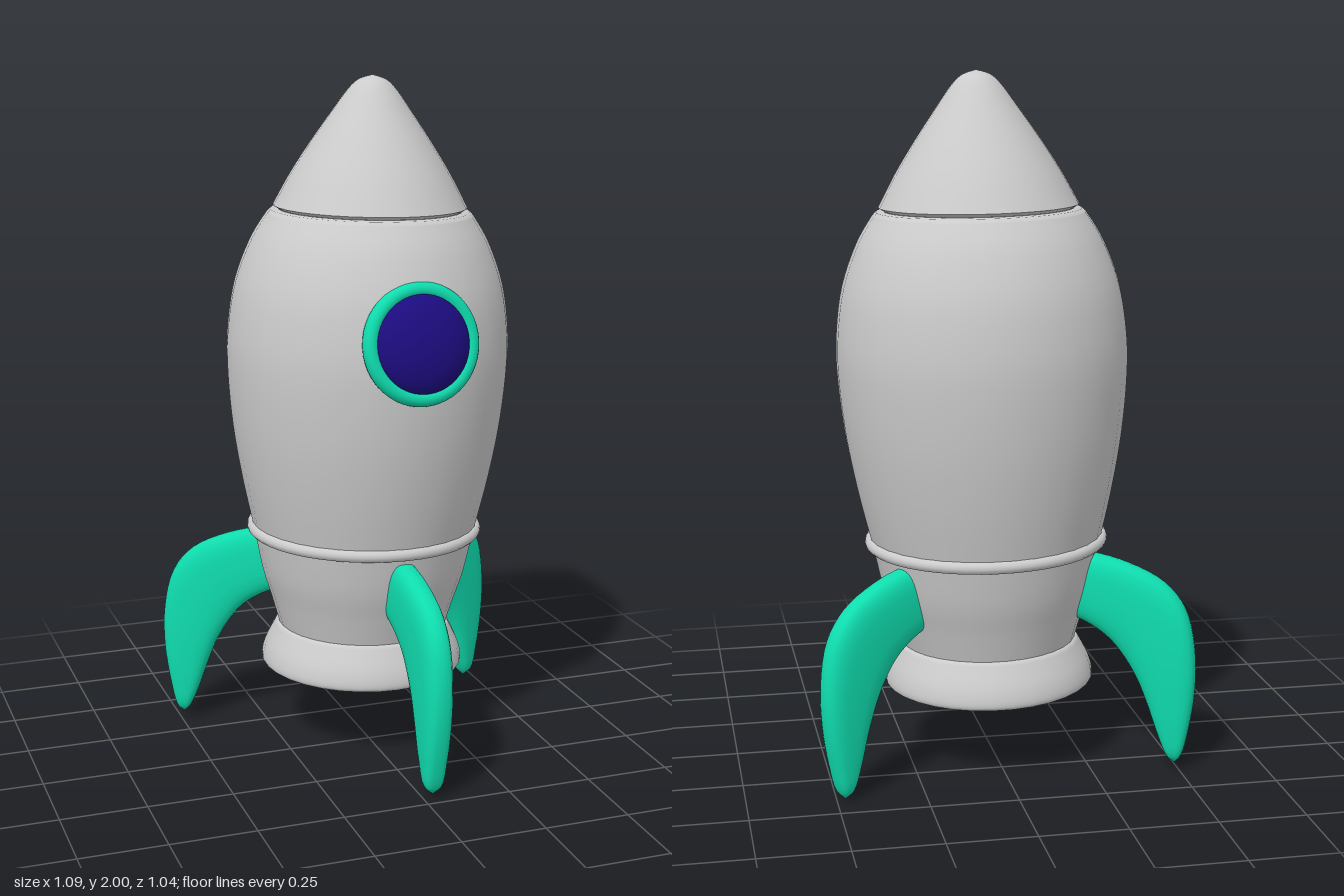
import * as THREE from 'three';

const grey = new THREE.MeshStandardMaterial({ color: 0xcccccc, side: THREE.DoubleSide });
const green = new THREE.MeshStandardMaterial({ color: 0x0fdcae });
const navy = new THREE.MeshStandardMaterial({ color: 0x1c0c80 });

function mesh(name, geometry, material) {
  const m = new THREE.Mesh(geometry, material);
  m.name = name;
  return m;
}

// Turned part from [radius, height] pairs, bottom to top; smooth runs a spline through them
function turned(name, pairs, smooth = true) {
  let pts = pairs.map(([r, y]) => new THREE.Vector2(r, y));
  if (smooth) pts = new THREE.SplineCurve(pts).getPoints(pairs.length * 4);
  pts.forEach(p => { p.x = Math.max(p.x, 0); });
  return mesh(name, new THREE.LatheGeometry(pts, 32), grey);
}

// Swept fin: rounded cross-sections between an outer and an inner edge, x pointing outwards.
// Each row: outer x, outer y, inner x, inner y, half thickness.
function finGeometry() {
  const rows = [
    [0.22, 0.63, 0.22, 0.45, 0.045],
    [0.31, 0.627, 0.28, 0.43, 0.045],
    [0.42, 0.602, 0.33, 0.405, 0.045],
    [0.528, 0.55, 0.375, 0.37, 0.045],
    [0.59, 0.475, 0.415, 0.32, 0.045],
    [0.617, 0.36, 0.45, 0.26, 0.044],
    [0.617, 0.23, 0.478, 0.19, 0.041],
    [0.598, 0.11, 0.508, 0.10, 0.035],
    [0.578, 0.035, 0.535, 0.035, 0.025],
    [0.557, 0.01, 0.557, 0.01, 0],
  ];
  const outer = new THREE.CatmullRomCurve3(rows.map(r => new THREE.Vector3(r[0], r[1], r[4])));
  const inner = new THREE.CatmullRomCurve3(rows.map(r => new THREE.Vector3(r[2], r[3], r[4])));
  const steps = 36, sides = 24, pos = [], index = [];
  const round = v => Math.sign(v) * Math.pow(Math.abs(v), 0.7);
  for (let i = 0; i <= steps; i++) {
    const o = outer.getPoint(i / steps), n = inner.getPoint(i / steps);
    for (let j = 0; j < sides; j++) {
      const a = (j / sides) * Math.PI * 2;
      const t = 0.5 + 0.5 * round(Math.cos(a));
      pos.push(n.x + (o.x - n.x) * t, n.y + (o.y - n.y) * t, o.z * round(Math.sin(a)));
      if (i < steps) {
        const k = (j + 1) % sides;
        const p = i * sides + j, q = i * sides + k;
        index.push(p, q, p + sides, q, q + sides, p + sides);
      }
    }
  }
  const g = new THREE.BufferGeometry();
  g.setAttribute('position', new THREE.Float32BufferAttribute(pos, 3));
  g.setIndex(index);
  g.computeVertexNormals();
  return g;
}

export function createModel() {
  const model = new THREE.Group();
  model.name = 'rocket';

  // The whole rocket leans slightly and is turned a little about its axis
  const lean = new THREE.Group();
  lean.name = 'leaningRocket';
  lean.position.set(0.005, 0, -0.099);
  lean.rotation.z = -0.021;
  model.add(lean);
  const rocket = new THREE.Group();
  rocket.name = 'turnedRocket';
  rocket.rotation.y = THREE.MathUtils.degToRad(2.5);
  lean.add(rocket);

  // Engine bell with a flat underside
  rocket.add(
    turned('bellUnderside', [[0, 0.226], [0.294, 0.226]], false),
    turned('engineBell', [[0.294, 0.226], [0.304, 0.235], [0.304, 0.256], [0.294, 0.29],
      [0.272, 0.335], [0.26, 0.354], [0.24, 0.36]]),
    turned('neck', [[0.253, 0.35], [0.28, 0.44], [0.308, 0.53], [0.333, 0.65]]),
  );

  // Trim ring between neck and hull
  const trim = mesh('trimRing', new THREE.TorusGeometry(0.335, 0.018, 12, 48), green);
  trim.material = grey;
  trim.rotation.x = Math.PI / 2;
  trim.position.y = 0.655;
  rocket.add(trim);

  // Hull, shoulder and nose cone
  rocket.add(
    turned('hull', [[0.333, 0.65], [0.37, 0.81], [0.4, 0.98], [0.416, 1.15], [0.414, 1.27],
      [0.394, 1.4], [0.35, 1.52], [0.302, 1.6]]),
    turned('shoulder', [[0.302, 1.6], [0.292, 1.61], [0.27, 1.612]], false),
    turned('noseLip', [[0.268, 1.612], [0.284, 1.622]], false),
    turned('noseCone', [[0.284, 1.622], [0.235, 1.713], [0.177, 1.805], [0.115, 1.895],
      [0.072, 1.955], [0.04, 1.985], [0, 1.998]]),
  );

  // Porthole, tilted to follow the hull
  const porthole = new THREE.Group();
  porthole.name = 'porthole';
  porthole.position.set(0, 1.283, 0.395);
  porthole.rotation.x = -THREE.MathUtils.degToRad(9.5);
  const frame = mesh('portholeFrame', new THREE.TorusGeometry(0.152, 0.023, 16, 48), green);
  const glass = mesh('portholeGlass', new THREE.SphereGeometry(0.145, 40, 24), navy);
  glass.scale.z = 0.45;
  porthole.add(frame, glass);
  rocket.add(porthole);

  // Three fins, one at the front
  const fin = finGeometry();
  ['frontFin', 'leftFin', 'rightFin'].forEach((name, i) => {
    const f = mesh(name, fin, green);
    f.rotation.y = (i * Math.PI * 2) / 3 - Math.PI / 2;
    rocket.add(f);
  });

  return model;
}
